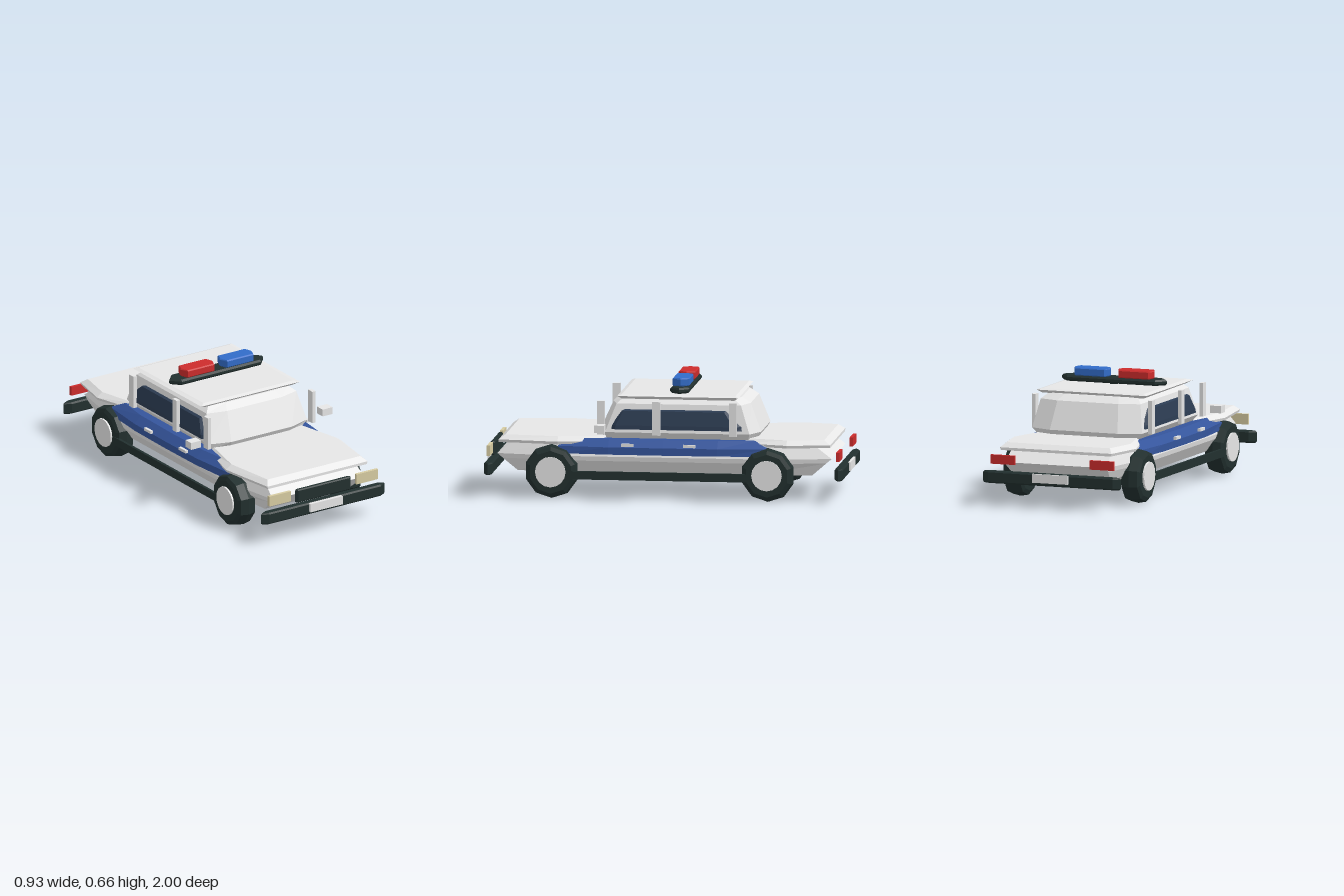
import * as THREE from 'three';

const mat = (name, color) => {
  const m = new THREE.MeshStandardMaterial({ color, flatShading: true });
  m.name = name;
  return m;
};

// Stacks horizontal outlines. Each layer is [y, [[x, z], ...]] giving the +x half from front to back.
function loft(layers) {
  const rings = layers.map(([y, half]) => [
    ...half.map(([x, z]) => [x, y, z]),
    ...half.slice().reverse().map(([x, z]) => [-x, y, z]),
  ]);
  const n = rings[0].length, pos = [];
  const tri = (...p) => p.forEach((v) => pos.push(...v));
  for (let k = 0; k + 1 < rings.length; k++) {
    for (let i = 0; i < n; i++) {
      const j = (i + 1) % n, a = rings[k], b = rings[k + 1];
      tri(a[i], a[j], b[j]);
      tri(a[i], b[j], b[i]);
    }
  }
  const centre = (r) => [0, r[0][1], r.reduce((s, p) => s + p[2], 0) / n];
  const lo = rings[0], hi = rings[rings.length - 1];
  for (let i = 0; i < n; i++) {
    const j = (i + 1) % n;
    tri(centre(lo), lo[j], lo[i]);
    tri(centre(hi), hi[i], hi[j]);
  }
  const g = new THREE.BufferGeometry();
  g.setAttribute('position', new THREE.Float32BufferAttribute(pos, 3));
  g.computeVertexNormals();
  return g;
}

// Bar with pointed ends and slightly bevelled top and bottom, centred on the origin
function bar(w, h, d, tip, bevel) {
  const plan = (s) => [[w / 2 - tip, d / 2 - s], [w / 2 - s, 0], [w / 2 - tip, -d / 2 + s]];
  return loft([
    [-h / 2, plan(bevel)],
    [-h / 2 + bevel, plan(0)],
    [h / 2 - bevel, plan(0)],
    [h / 2, plan(bevel)],
  ]);
}

export function createModel() {
  const car = new THREE.Group();
  car.name = 'patrolCar';
  const white = mat('whitePaint', 0xe6e6e6);
  const blue = mat('bluePaint', 0x35559c);
  const dark = mat('darkRubber', 0x22302f);
  const glass = mat('windowGlass', 0x2c3c52);
  const red = mat('redLight', 0xcc2c2c);
  const beacon = mat('blueLight', 0x326cc8);
  const cream = mat('headlampCream', 0xd6cba2);

  const add = (name, geo, material, x = 0, y = 0, z = 0) => {
    const m = new THREE.Mesh(geo, material);
    m.name = name;
    m.position.set(x, y, z);
    car.add(m);
    return m;
  };
  const box = (w, h, d) => new THREE.BoxGeometry(w, h, d);

  // Lower body, wedge shaped at both ends
  add('lowerBody', loft([
    [0.145, [[0.28, 0.81], [0.31, 0.5], [0.31, -0.5], [0.28, -0.81]]],
    [0.215, [[0.3, 0.89], [0.36, 0.56], [0.37, 0], [0.36, -0.56], [0.3, -0.89]].filter((p) => p[1] !== 0)],
    [0.24, [[0.3, 0.92], [0.365, 0.56], [0.365, -0.56], [0.3, -0.92]]],
    [0.315, [[0.29, 0.82], [0.34, 0.55], [0.34, -0.55], [0.29, -0.82]]],
  ]), white);

  // Blue band along the doors
  add('doorBand', loft([
    [0.255, [[0.365, 0.57], [0.388, 0.3], [0.392, 0], [0.388, -0.3], [0.365, -0.57]]],
    [0.295, [[0.36, 0.58], [0.388, 0.3], [0.392, 0], [0.388, -0.3], [0.36, -0.58]]],
    [0.335, [[0.32, 0.5], [0.345, 0.3], [0.35, 0], [0.345, -0.3], [0.32, -0.5]]],
  ]), blue);

  // Bonnet and boot slabs
  const slab = (s, f, m, b) => [
    [0.305, [[0.325 - s, f - s], [0.375 - s, m], [0.305 - s, b]]],
    [0.32, [[0.33 - s, f], [0.38 - s, m], [0.31 - s, b]]],
    [0.345, [[0.305 - s, f - 0.035], [0.345 - s, m], [0.285 - s, b]]],
  ];
  add('bonnet', loft(slab(0, 0.91, 0.58, 0.31)), white);
  const boot = loft(slab(0, 0.915, 0.68, 0.44));
  boot.rotateY(Math.PI);
  add('boot', boot, white);

  // Cabin, side glass and roof
  add('cabin', loft([
    [0.335, [[0.19, 0.345], [0.295, 0.32], [0.295, -0.46], [0.19, -0.5]]],
    [0.37, [[0.2, 0.365], [0.325, 0.325], [0.325, -0.47], [0.2, -0.52]]],
    [0.525, [[0.18, 0.295], [0.295, 0.265], [0.295, -0.42], [0.18, -0.46]]],
    [0.555, [[0.16, 0.25], [0.262, 0.23], [0.262, -0.38], [0.16, -0.41]]],
  ]), white);
  add('sideWindows', loft([
    [0.388, [[0.31, 0.305], [0.336, 0.27], [0.336, -0.39], [0.31, -0.46]]],
    [0.41, [[0.305, 0.3], [0.334, 0.265], [0.334, -0.385], [0.305, -0.455]]],
    [0.488, [[0.285, 0.245], [0.316, 0.225], [0.316, -0.33], [0.285, -0.365]]],
    [0.5, [[0.28, 0.235], [0.29, 0.215], [0.29, -0.32], [0.28, -0.355]]],
  ]), glass);
  add('roof', loft([
    [0.552, [[0.29, 0.235], [0.3, -0.385]]],
    [0.57, [[0.325, 0.258], [0.325, -0.41]]],
    [0.577, [[0.295, 0.235], [0.3, -0.39]]],
  ]), white);

  // Roof light bar
  add('lightBarMount', box(0.04, 0.02, 0.04), dark, 0, 0.58, -0.08);
  add('lightBarBase', bar(0.62, 0.032, 0.108, 0.05, 0.01), dark, 0, 0.6, -0.08);
  for (const s of [-1, 1]) {
    add('beacon', bar(0.214, 0.045, 0.094, 0.02, 0.006), s < 0 ? red : beacon, s * 0.129, 0.638, -0.08);
  }

  // Bumpers, plates, grille and lamps
  for (const s of [-1, 1]) {
    const z = s > 0 ? 0.962 : -0.968;
    add('bumper', bar(0.815, 0.067, 0.048, 0.04, 0.008), dark, 0, 0.164, z);
    add('plate', box(0.212, 0.048, 0.02), white, 0, 0.172, s * 0.99);
  }
  add('grille', bar(0.365, 0.076, 0.026, 0.012, 0.006), dark, 0, 0.248, 0.962);

  const tyre = new THREE.LatheGeometry([
    [0, -0.056], [0.118, -0.056], [0.14, -0.046], [0.149, 0], [0.14, 0.046], [0.118, 0.056], [0, 0.056],
  ].map(([r, y]) => new THREE.Vector2(r, y)), 10, Math.PI / 2);
  tyre.rotateZ(Math.PI / 2);
  const hub = new THREE.CylinderGeometry(0.08, 0.084, 0.124, 16);
  hub.rotateZ(Math.PI / 2);

  // Everything paired left and right
  for (const s of [-1, 1]) {
    add('headlamp', box(0.142, 0.058, 0.018), cream, s * 0.287, 0.259, 0.963);
    add('tailLamp', box(0.142, 0.05, 0.018), red, s * 0.293, 0.26, -0.962);
    add('sill', box(0.016, 0.045, 1.0), dark, s * 0.398, 0.14, 0.02);
    for (const z of [0.345, 0.04, -0.382]) {
      add('pillar', box(0.022, 0.185, 0.042), white, s * 0.344, 0.452, z);
    }
    for (const z of [0.192, -0.148]) {
      add('doorHandle', box(0.016, 0.016, 0.066), white, s * 0.4, 0.31, z);
    }
    add('mirror', box(0.066, 0.04, 0.055), white, s * 0.433, 0.405, 0.34);
    for (const z of [0.615, -0.575]) {
      add('tyre', tyre, dark, s * 0.348, 0.154, z);
      add('hub', hub, white, s * 0.352, 0.156, z);
    }
  }
  return car;
}
